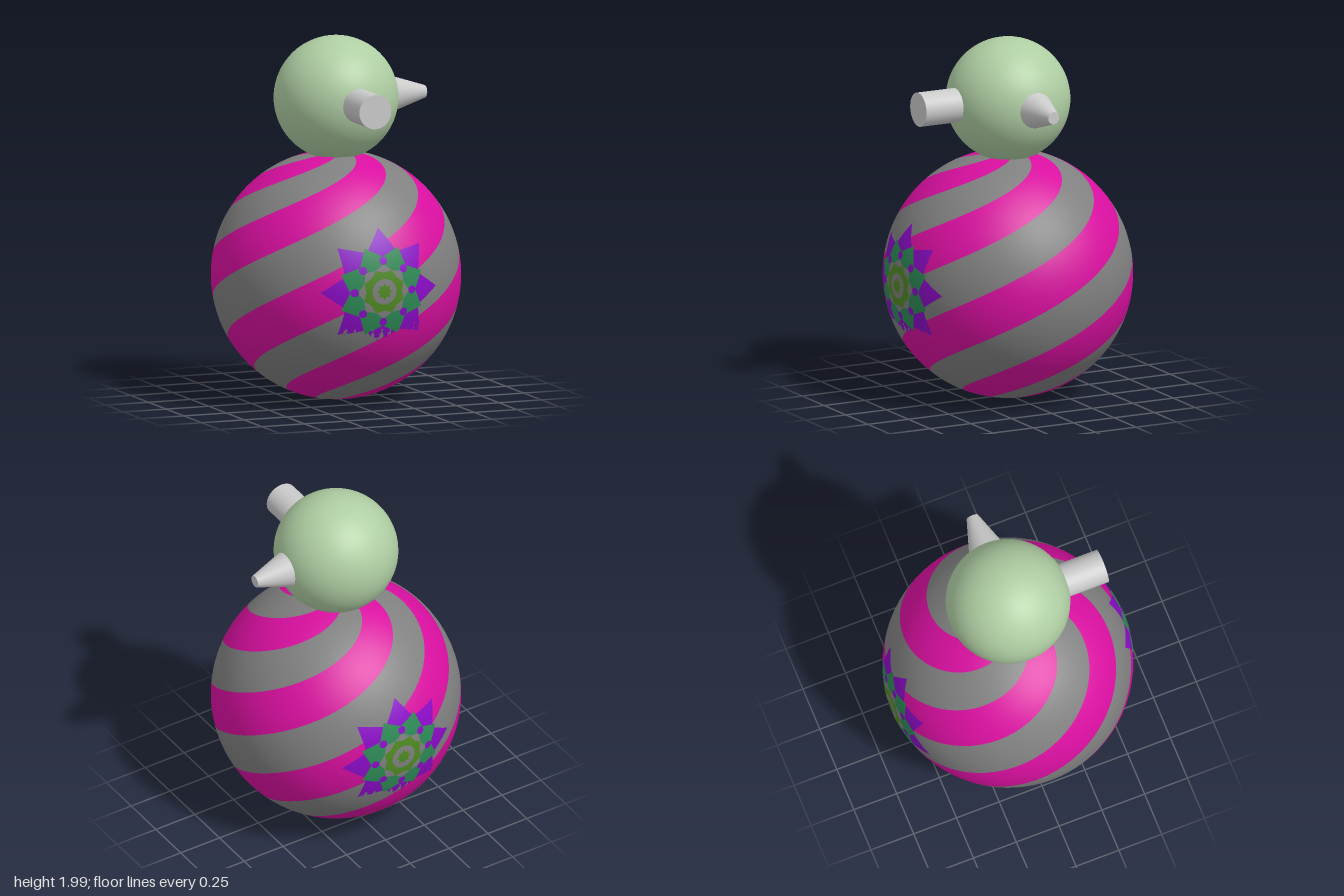
import * as THREE from 'three';
import { ParametricGeometry } from 'three/addons/geometries/ParametricGeometry.js';

const R = 0.68, BODY_Y = 0.688, HEAD_R = 0.339, HEAD_Y = 1.661;

const paint = (name, color) => {
  const m = new THREE.MeshStandardMaterial({ color });
  m.name = name;
  return m;
};

// Surface lying on a sphere around the origin, with exact smooth normals
function sphereSurface(fn, nu, nv) {
  const g = new ParametricGeometry(fn, nu, nv);
  const p = g.attributes.position, n = g.attributes.normal, v = new THREE.Vector3();
  for (let i = 0; i < p.count; i++) {
    v.fromBufferAttribute(p, i).normalize();
    n.setXYZ(i, v.x, v.y, v.z);
  }
  return g;
}

// One spiral stripe, 45 degrees wide, making a full turn from pole to pole
function stripe(k) {
  return sphereSurface((u, v, out) => {
    const lat = (v - 0.5) * Math.PI;
    const lon = 2 * lat + (k + u) * Math.PI / 4;
    out.set(Math.cos(lat) * Math.sin(lon), Math.sin(lat), Math.cos(lat) * Math.cos(lon)).multiplyScalar(R);
  }, 10, 80);
}

// Ring or star curved over the front of the body: tip and valley radii, hole radius
function starPatch({ tip, valley = tip, hole = 0, turn = 0, lift, x = 0, y = 0 }) {
  const r = R + lift;
  return sphereSurface((u, v, out) => {
    const a = v * Math.PI * 2;
    const t = Math.abs(((v * 8) % 1) * 2 - 1); // 1 at a tip, 0 in a valley
    // straight edge between tip and valley, in polar form
    const h = Math.PI / 8, b = (1 - t) * h;
    const edge = tip === valley ? tip
      : tip * valley * Math.sin(h) / (valley * Math.sin(h - b) + tip * Math.sin(b));
    const d = hole + (edge - hole) * u;
    const px = x + d * Math.cos(a + turn), py = y + d * Math.sin(a + turn);
    out.set(px, py, Math.sqrt(r * r - px * px - py * py));
  }, 8, 96);
}

export function createModel() {
  const model = new THREE.Group();
  const grey = paint('stripeGrey', 0x808080);
  const magenta = paint('stripeMagenta', 0xd90fa0);
  const violet = paint('starViolet', 0x8c0cc8);
  const green = paint('starGreen', 0x2e8b57);
  const olive = paint('starOlive', 0x4f8a22);
  const sage = paint('headSage', 0xafcea3);
  const silver = paint('fittingSilver', 0xcacaca);

  const add = (parent, name, geometry, material) => {
    const mesh = new THREE.Mesh(geometry, material);
    mesh.name = name;
    parent.add(mesh);
    return mesh;
  };

  // Striped round body
  const body = new THREE.Group();
  body.name = 'body';
  body.position.y = BODY_Y;
  model.add(body);
  for (let k = 0; k < 8; k++) add(body, 'spiralStripe', stripe(k), k % 2 ? magenta : grey);

  // Layered star ornament on the front and the back
  const E = Math.PI / 8;
  for (const side of [0, Math.PI]) {
    const star = new THREE.Group();
    star.name = side ? 'backStar' : 'frontStar';
    star.rotation.y = side;
    star.position.y = 0.005;
    body.add(star);
    add(star, 'outerStar', starPatch({ tip: 0.34, valley: 0.23, hole: 0.16, lift: 0.0015 }), violet);
    add(star, 'innerStar', starPatch({ tip: 0.255, valley: 0.19, hole: 0.1, turn: E, lift: 0.003 }), green);
    add(star, 'greyRing', starPatch({ tip: 0.15, valley: 0.125, lift: 0.0045 }), grey);
    add(star, 'oliveRing', starPatch({ tip: 0.125, valley: 0.105, hole: 0.07, turn: E, lift: 0.006 }), olive);
    add(star, 'centreDot', starPatch({ tip: 0.045, valley: 0.03, lift: 0.006 }), olive);
    for (let i = 0; i < 8; i++) {
      const a = i * Math.PI / 4;
      add(star, 'violetSpot', starPatch({
        tip: 0.022, lift: 0.0055, x: 0.168 * Math.cos(a), y: 0.168 * Math.sin(a),
      }), violet);
    }
  }

  // Head with a cylindrical snout in front and a tapered spout on its left
  const head = new THREE.Group();
  head.name = 'head';
  head.position.y = HEAD_Y;
  model.add(head);
  add(head, 'skull', new THREE.SphereGeometry(HEAD_R, 64, 40), sage);

  const snout = add(head, 'snout', new THREE.CylinderGeometry(0.094, 0.094, 0.3, 32), silver);
  snout.rotation.x = Math.PI / 2;
  snout.position.z = 0.403;

  const spout = add(head, 'spout', new THREE.CylinderGeometry(0.034, 0.105, 0.22, 32), silver);
  spout.rotation.z = -Math.PI / 2;
  spout.position.x = 0.413;

  return model;
}
